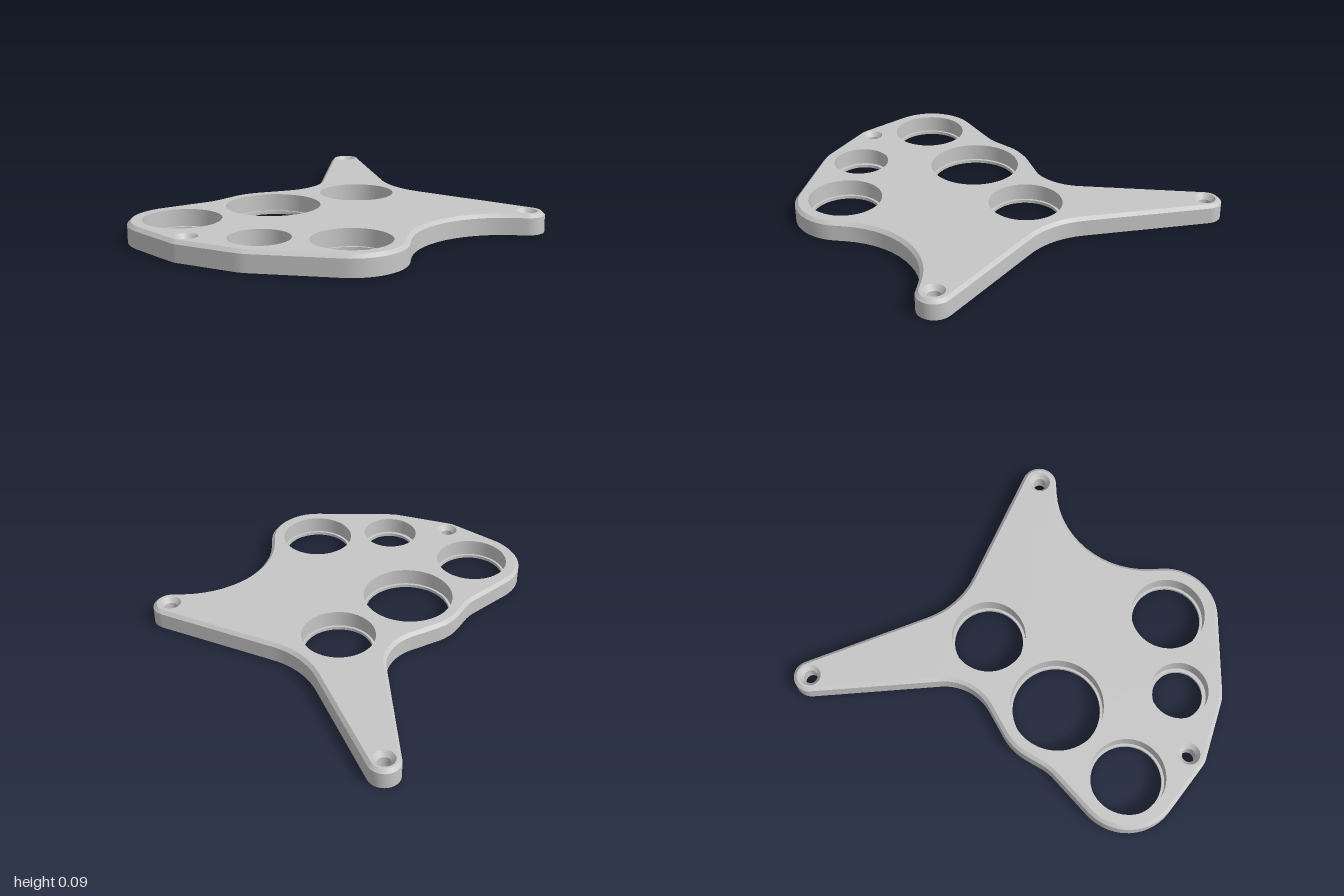
import * as THREE from 'three';
import { mergeGeometries } from 'three/addons/utils/BufferGeometryUtils.js';

const HEIGHT = 0.095, CHAMFER = 0.016, LEDGE = 0.015, SEG = 48;

// Outline as a belt round circles [x, z, radius]; a negative radius is a concave fillet
const BELT = [
  [-0.227, -0.925, 0.075],  // rear tip
  [-0.475, -0.29, -0.243],
  [-0.333, 0.23, 0.278],    // bulge round the largest hole
  [-0.824, 0.053, -0.238],
  [-0.657, 0.557, 0.243],   // right corner
  [-0.545, 0.839, 0.08],
  [-0.243, 0.795, 0.205],
  [0.137, 0.75, 0.24],      // front corner
  [0.798, 0.637, -0.428],
  [0.817, 0.123, 0.083],    // left tip
  [0.449, -0.55, -0.397],
];

// Stepped holes [x, z, upper radius, lower radius]
const BORES = [
  [-0.007, -0.096, 0.175, 0.163],
  [-0.334, 0.232, 0.217, 0.205],
  [-0.66, 0.558, 0.175, 0.163],
  [-0.244, 0.799, 0.135, 0.117],
  [0.136, 0.751, 0.175, 0.163],
];

// Countersunk screw holes [x, z, upper radius, lower radius]
const SCREWS = [[-0.227, -0.922, 0.05, 0.031], [0.816, 0.125, 0.05, 0.031], [-0.546, 0.839, 0.05, 0.031]];

// Points of the belt, moved inwards by inset, counterclockwise seen from above
function outline(inset) {
  const c = BELT.map(([x, z, r]) => ({ x, y: -z, r: r - inset }));
  const n = c.length;
  const normals = c.map((a, i) => {
    const b = c[(i + 1) % n], dx = b.x - a.x, dy = b.y - a.y;
    const k = THREE.MathUtils.clamp((a.r - b.r) / Math.hypot(dx, dy), -1, 1);
    return Math.atan2(dy, dx) - Math.acos(k);
  });
  const points = [];
  c.forEach((a, i) => {
    const start = normals[(i + n - 1) % n];
    const d = normals[i] - start;
    const turn = Math.atan2(Math.sin(d), Math.cos(d));
    for (let k = 0; k <= 14; k++) {
      const t = start + turn * k / 14;
      points.push(new THREE.Vector2(a.x + a.r * Math.cos(t), a.y + a.r * Math.sin(t)));
    }
  });
  return points;
}

// Flat face with holes, at height y
function face(points, radiusIndex, y, down) {
  const shape = new THREE.Shape(points);
  for (const h of [...BORES, ...SCREWS]) {
    shape.holes.push(new THREE.Path().absarc(h[0], -h[1], h[radiusIndex], 0, Math.PI * 2, true));
  }
  const g = new THREE.ShapeGeometry(shape, SEG / 2).rotateX(-Math.PI / 2).translate(0, y, 0);
  if (down) {
    g.index.array.reverse();
    g.computeVertexNormals();
  }
  return g;
}

// Band joining two closed outlines
function band(low, y0, high, y1) {
  const pos = [], index = [], n = low.length;
  for (let i = 0; i < n; i++) {
    pos.push(low[i].x, y0, -low[i].y, high[i].x, y1, -high[i].y);
    const a = 2 * i, b = 2 * ((i + 1) % n);
    index.push(a, b, a + 1, b, b + 1, a + 1);
  }
  const g = new THREE.BufferGeometry();
  g.setAttribute('position', new THREE.Float32BufferAttribute(pos, 3));
  g.setIndex(index);
  g.computeVertexNormals();
  return g;
}

// Hole lining from a profile running downwards, one lathe per segment for sharp edges
function lining(profile, x, z) {
  const parts = profile.slice(1).map((p, i) =>
    new THREE.LatheGeometry([new THREE.Vector2(...profile[i]), new THREE.Vector2(...p)], SEG));
  return mergeGeometries(parts).translate(x, 0, z);
}

export function createModel() {
  const group = new THREE.Group();
  group.name = 'mountingPlate';
  const grey = new THREE.MeshStandardMaterial({ color: 0xc6c6c6 });
  grey.name = 'lightGrey';
  const add = (name, geometry) => {
    const mesh = new THREE.Mesh(geometry, grey);
    mesh.name = name;
    group.add(mesh);
  };

  // Plate
  const outer = outline(0), inner = outline(CHAMFER), shoulder = HEIGHT - CHAMFER;
  add('bottomFace', face(outer, 3, 0, true));
  add('sideWall', band(outer, 0, outer, shoulder));
  add('topChamfer', band(outer, shoulder, inner, HEIGHT));
  add('topFace', face(inner, 2, HEIGHT, false));

  // Hole linings
  for (const [x, z, R, r] of BORES) {
    add('steppedHole', lining([[R, HEIGHT], [R, LEDGE], [r, LEDGE], [r, 0]], x, z));
  }
  for (const [x, z, R, r] of SCREWS) {
    add('screwHole', lining([[R, HEIGHT], [r, HEIGHT - 0.025], [r, 0]], x, z));
  }
  return group;
}
